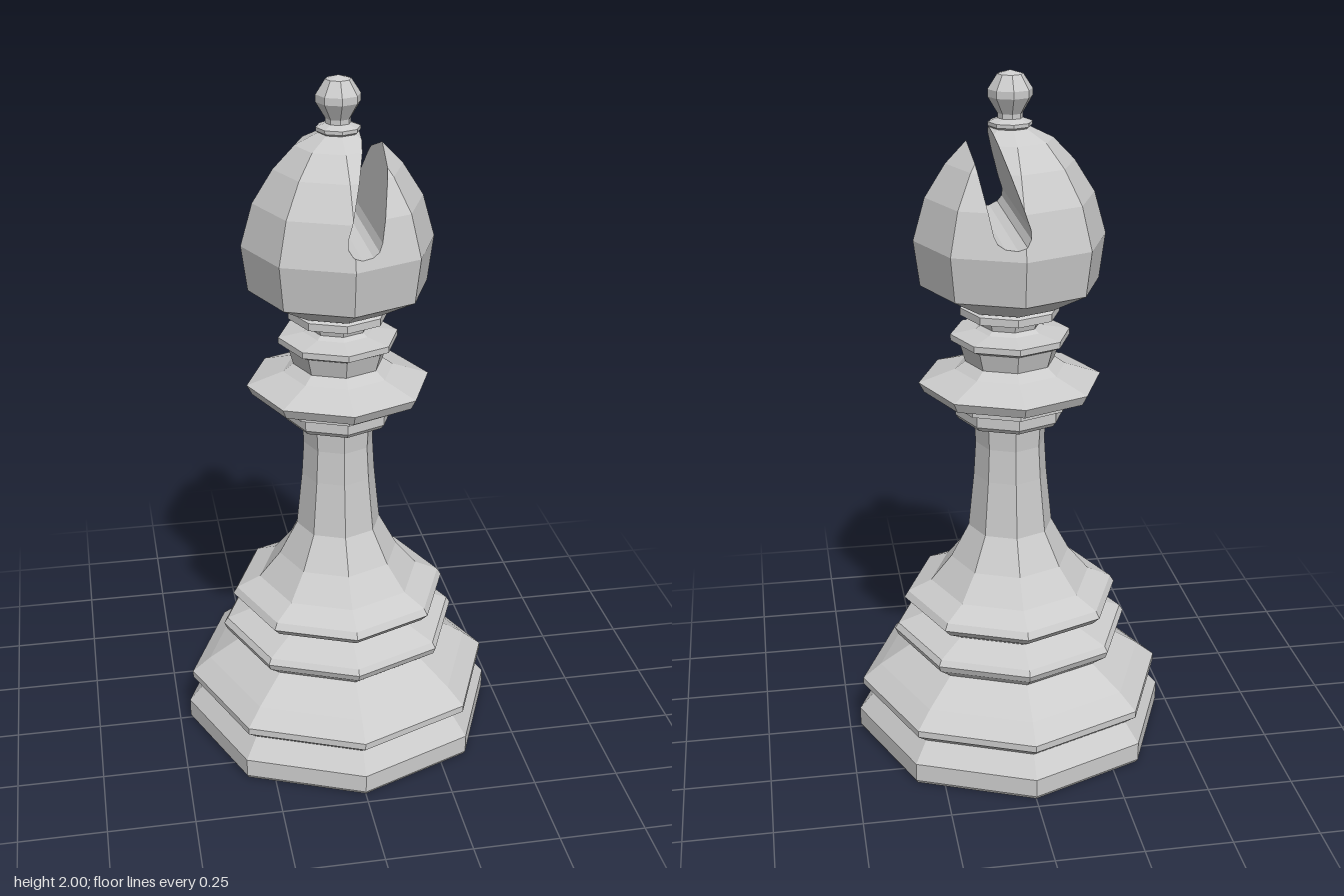
import * as THREE from 'three';

const SIDES = 8;
const material = new THREE.MeshStandardMaterial({ color: 0xcccccc, flatShading: true });

function addMesh(group, name, geometry) {
  const flat = geometry.index ? geometry.toNonIndexed() : geometry;
  flat.computeVertexNormals();
  const mesh = new THREE.Mesh(flat, material);
  mesh.name = name;
  group.add(mesh);
}

// Eight-sided turned part; profile of [radius, y] from bottom to top
function turned(profile) {
  return new THREE.LatheGeometry(profile.map(([r, y]) => new THREE.Vector2(r, y)), SIDES);
}

// Flat facets of a turned part, as polygons
function turnedFacets(profile) {
  const at = ([r, y], k) => {
    const a = (k / SIDES) * Math.PI * 2;
    return new THREE.Vector3(r * Math.sin(a), y, r * Math.cos(a));
  };
  const facets = [];
  for (let i = 0; i < profile.length - 1; i++) {
    for (let k = 0; k < SIDES; k++) {
      const lo = profile[i], hi = profile[i + 1];
      const facet = [at(lo, k), at(lo, k + 1), at(hi, k + 1)];
      if (hi[0] > 0) facet.push(at(hi, k));
      facets.push(facet);
    }
  }
  return facets;
}

// Part of a polygon on the positive side of a plane
function clip(polygon, plane) {
  const out = [];
  polygon.forEach((p, i) => {
    const q = polygon[(i + 1) % polygon.length];
    const dp = plane.distanceToPoint(p), dq = plane.distanceToPoint(q);
    if (dp >= 0) out.push(p);
    if ((dp >= 0) !== (dq >= 0)) out.push(p.clone().lerp(q, dp / (dp - dq)));
  });
  return out;
}

// Cross-section of a solid on a plane that contains the z axis direction
function section(facets, plane) {
  const points = [];
  for (const f of facets) {
    f.forEach((p, i) => {
      const q = f[(i + 1) % f.length];
      const dp = plane.distanceToPoint(p), dq = plane.distanceToPoint(q);
      if ((dp >= 0) !== (dq >= 0)) points.push(p.clone().lerp(q, dp / (dp - dq)));
    });
  }
  const centre = points.reduce((s, p) => s.add(p), new THREE.Vector3()).divideScalar(points.length);
  const along = new THREE.Vector3(plane.normal.y, -plane.normal.x, 0);
  const angle = (p) => Math.atan2(centre.z - p.z, p.clone().sub(centre).dot(along));
  return points.sort((a, b) => angle(a) - angle(b));
}

// Cut a convex slot, open at the top and running along z, through a solid
function cutSlot(facets, slot) {
  const planes = slot.slice(1).map(([x, y], i) => {
    const [px, py] = slot[i];
    const normal = new THREE.Vector3(py - y, x - px, 0).normalize();
    return new THREE.Plane().setFromNormalAndCoplanarPoint(normal, new THREE.Vector3(px, py, 0));
  });
  const kept = [];
  let rest = facets;
  for (const plane of planes) {
    const opposite = plane.clone().negate();
    kept.push(...rest.map((f) => clip(f, opposite)));
    rest = rest.map((f) => clip(f, plane)).filter((f) => f.length > 2);
  }
  const walls = planes.map((plane) =>
    planes.reduce((w, other) => (other === plane ? w : clip(w, other)), section(facets, plane)));
  return [...kept, ...walls].filter((f) => f.length > 2);
}

function fromPolygons(polygons) {
  const points = [];
  for (const f of polygons) {
    for (let i = 1; i < f.length - 1; i++) {
      const area = new THREE.Triangle(f[0], f[i], f[i + 1]).getArea();
      if (area > 1e-9) points.push(f[0], f[i], f[i + 1]);
    }
  }
  return new THREE.BufferGeometry().setFromPoints(points);
}

export function createModel() {
  const group = new THREE.Group();
  group.name = 'chessPiece';

  // Stepped foot with two mouldings
  addMesh(group, 'base', turned([
    [0, 0], [0.462, 0], [0.468, 0.01], [0.468, 0.065], [0.42, 0.122], [0.455, 0.15], [0.455, 0.17],
    [0.4, 0.215], [0.3, 0.28], [0.345, 0.315], [0.353, 0.335], [0.342, 0.352], [0.25, 0.385],
    [0.3, 0.415], [0.322, 0.438], [0.31, 0.458], [0.24, 0.49],
  ]));

  // Flared column
  addMesh(group, 'stem', turned([
    [0.24, 0.49], [0.178, 0.565], [0.125, 0.665], [0.108, 0.83], [0.102, 0.93], [0.106, 1.0],
  ]));

  // Stepped collar, wide flange and narrow ring
  addMesh(group, 'collar', turned([
    [0.106, 1.0], [0.15, 1.005], [0.16, 1.018], [0.16, 1.052], [0.182, 1.056], [0.182, 1.09],
    [0.25, 1.093], [0.265, 1.122], [0.16, 1.158], [0.13, 1.18], [0.145, 1.232], [0.172, 1.245],
    [0.172, 1.263], [0.1, 1.275], [0.085, 1.285], [0.09, 1.302], [0.143, 1.318], [0.143, 1.34], [0.12, 1.35],
  ]));

  // Bulbous head with a slanted, round-bottomed slot
  const head = turnedFacets([
    [0.12, 1.345], [0.145, 1.35], [0.255, 1.41], [0.272, 1.54], [0.238, 1.66],
    [0.18, 1.752], [0.12, 1.815], [0.058, 1.846], [0, 1.85],
  ]);
  const slot = [
    [0.107, 2], [-0.016, 1.62], [-0.016, 1.597], [-0.004, 1.578], [0.02, 1.568],
    [0.052, 1.57], [0.07, 1.581], [0.08, 1.602], [0.157, 2],
  ];
  addMesh(group, 'head', fromPolygons(cutSlot(head, slot)));

  // Small ring and faceted knob
  addMesh(group, 'finial', turned([
    [0.045, 1.84], [0.062, 1.852], [0.062, 1.862], [0.035, 1.872], [0.035, 1.885],
    [0.062, 1.93], [0.062, 1.95], [0.036, 1.99], [0, 2],
  ]));

  return group;
}
